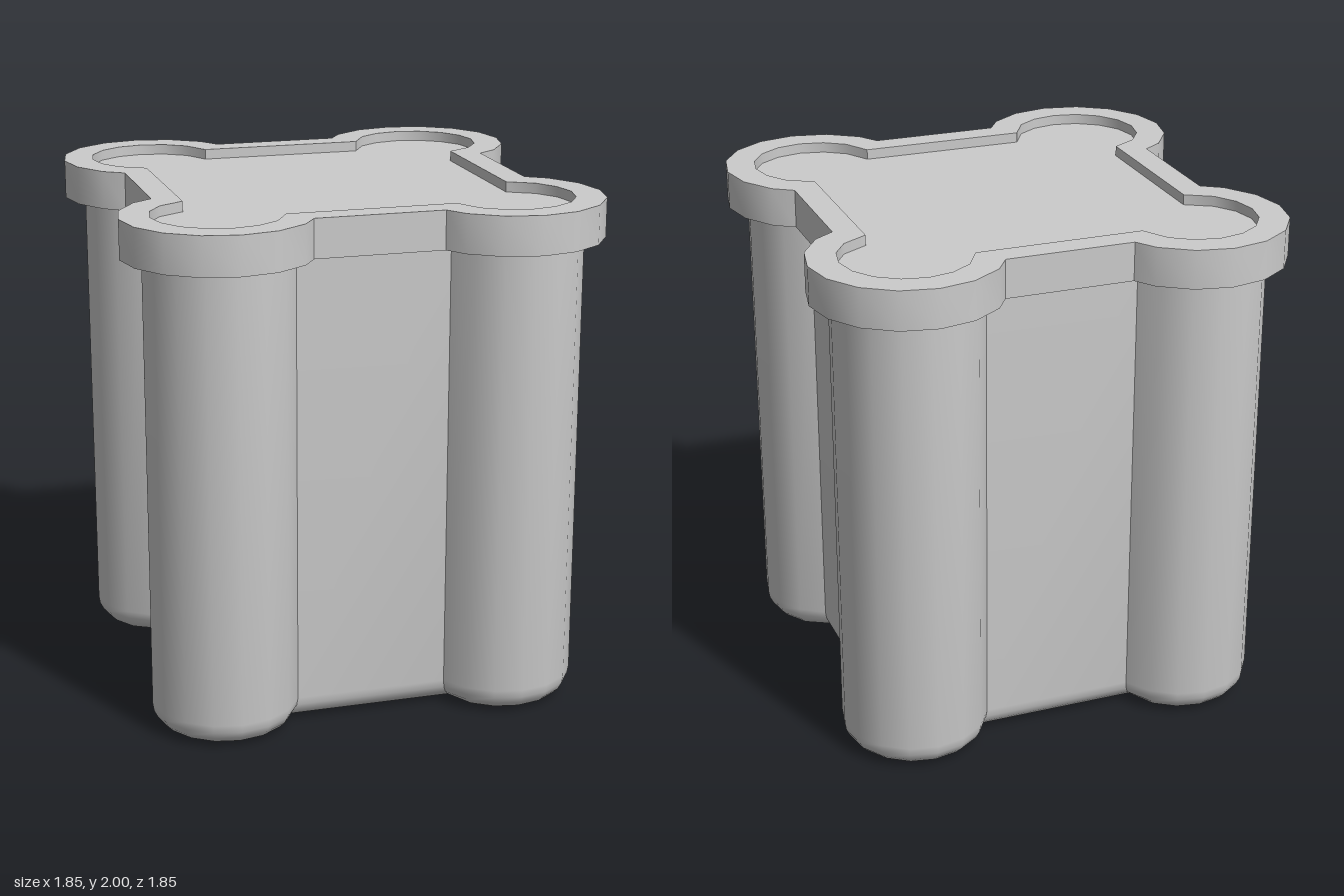
import * as THREE from 'three';
import { toCreasedNormals } from 'three/addons/utils/BufferGeometryUtils.js';

const C = 0.56; // distance of each corner column's axis from the centre planes

// Four-lobed outline: corner circles of radius r joined by straight walls at distance d
function outline(r, d) {
  const at = (k) => new THREE.Vector2(C + r * Math.cos(k * Math.PI / 8), C + r * Math.sin(k * Math.PI / 8));
  // valley where the corner circle meets the wall
  let k = 6;
  while (at(k + 1).y > d && k < 8) k++;
  const p = at(k), q = at(k + 1);
  const vx = p.x + (q.x - p.x) * (p.y - d) / (p.y - q.y);
  const corner = [new THREE.Vector2(d, vx)];
  for (let i = -2; i <= 6; i++) corner.push(at(i));
  corner.push(new THREE.Vector2(vx, d));
  const pts = [];
  const origin = new THREE.Vector2();
  for (let n = 0; n < 4; n++) {
    for (const c of corner) pts.push(c.clone().rotateAround(origin, n * Math.PI / 2));
  }
  return pts;
}

// Column-cornered body with a rounded bottom edge, lofted from stacked outlines
function bodyGeometry() {
  const r = 0.285, d = 0.668, round = 0.1, steps = 5;
  const rings = [];
  for (let j = 0; j <= steps; j++) {
    const t = j / steps * Math.PI / 2;
    const inset = round * (1 - Math.sin(t));
    rings.push({ y: round * (1 - Math.cos(t)), pts: outline(r - inset, d - inset) });
  }
  rings.push({ y: 1.9, pts: outline(r, d) });

  const pos = [], index = [];
  const n = rings[0].pts.length;
  for (const ring of rings) for (const p of ring.pts) pos.push(p.x, ring.y, -p.y);
  for (let j = 0; j < rings.length - 1; j++) {
    for (let i = 0; i < n; i++) {
      const a = j * n + i, b = j * n + (i + 1) % n;
      index.push(a, b, b + n, a, b + n, a + n);
    }
  }
  // flat underside
  for (const [a, b, c] of THREE.ShapeUtils.triangulateShape(rings[0].pts, [])) index.push(a, c, b);

  const geo = new THREE.BufferGeometry();
  geo.setAttribute('position', new THREE.Float32BufferAttribute(pos, 3));
  geo.setIndex(index);
  return toCreasedNormals(geo, 0.65);
}

export function createModel() {
  const group = new THREE.Group();
  group.name = 'lobedContainer';
  const material = new THREE.MeshStandardMaterial({ color: 0xcccccc });
  const add = (name, geo) => {
    const mesh = new THREE.Mesh(geo, material);
    mesh.name = name;
    group.add(mesh);
  };

  add('body', bodyGeometry());

  // overhanging rim with an opening
  const rimShape = new THREE.Shape(outline(0.365, 0.74));
  rimShape.holes.push(new THREE.Path(outline(0.25, 0.637)));
  const rim = new THREE.ExtrudeGeometry(rimShape, { depth: 0.15, bevelEnabled: false });
  rim.rotateX(-Math.PI / 2).translate(0, 1.85, 0);
  add('rim', toCreasedNormals(rim, 0.65));

  // slightly sunken top panel inside the rim
  const panel = new THREE.ShapeGeometry(new THREE.Shape(outline(0.25, 0.637)));
  panel.rotateX(-Math.PI / 2).translate(0, 1.96, 0);
  add('topPanel', panel);

  return group;
}
